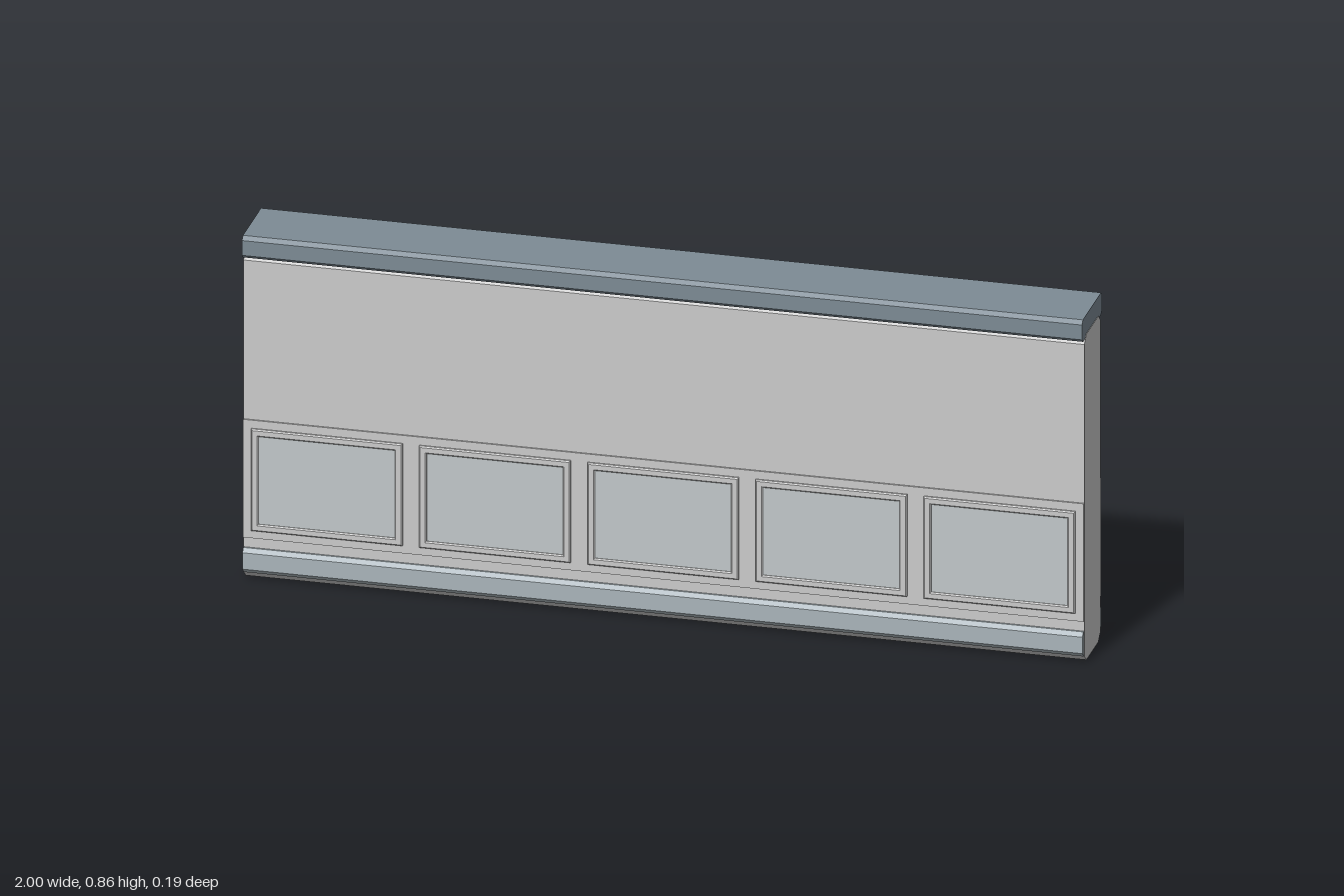
import * as THREE from 'three';

const mat = (color) => new THREE.MeshStandardMaterial({ color, flatShading: true });
const wallMat = mat(0xcccccc);
const capMat = mat(0x7d8b95);
const skirtMat = mat(0xaab5bb);
const panelMat = mat(0xc2c8ca);

// Symmetric cross-section, given as [half depth, height] from bottom to top, run along x.
function beam(name, half, length, material) {
  const pts = [...half, ...half.slice().reverse().map(([z, y]) => [-z, y])];
  const shape = new THREE.Shape(pts.map(([z, y]) => new THREE.Vector2(z, y)));
  const geo = new THREE.ExtrudeGeometry(shape, { depth: length, bevelEnabled: false });
  geo.translate(0, 0, -length / 2).rotateY(Math.PI / 2);
  const mesh = new THREE.Mesh(geo, material);
  mesh.name = name;
  return mesh;
}

function rect(Type, w, h) {
  const x = w / 2, y = h / 2;
  return new Type([[-x, -y], [x, -y], [x, y], [-x, y]].map(([a, b]) => new THREE.Vector2(a, b)));
}

// Bevelled moulding around a slightly recessed field.
function panel(w, h) {
  const group = new THREE.Group();
  group.name = 'panel';
  const bevel = 0.003;
  const shape = rect(THREE.Shape, w - 2 * bevel, h - 2 * bevel);
  shape.holes.push(rect(THREE.Path, w - 0.03, h - 0.03));
  const frame = new THREE.Mesh(new THREE.ExtrudeGeometry(shape, {
    depth: 0.005, bevelThickness: bevel, bevelSize: bevel, bevelSegments: 1,
  }), wallMat);
  frame.name = 'panelFrame';
  frame.position.z = 0.078;
  const field = new THREE.Mesh(new THREE.BoxGeometry(w - 0.02, h - 0.02, 0.006), panelMat);
  field.name = 'panelField';
  field.position.z = 0.0787;
  group.add(frame, field);
  return group;
}

export function createModel() {
  const model = new THREE.Group();
  model.name = 'wallSection';

  // Wall core with chamfered top and foot
  model.add(beam('wall', [[0.055, 0], [0.075, 0.018], [0.075, 0.797], [0.055, 0.815]], 2, wallMat));

  // Slightly proud band behind the panels
  model.add(beam('wainscot', [[0.079, 0.105], [0.079, 0.4]], 1.999, wallMat));

  // Skirting along both faces
  model.add(beam('skirting', [
    [0.073, 0.018], [0.078, 0.018], [0.088, 0.029], [0.088, 0.07], [0.08, 0.08], [0.073, 0.08],
  ], 1.998, skirtMat));

  // Coping on top
  model.add(beam('coping', [
    [0.083, 0.807], [0.093, 0.816], [0.093, 0.853], [0.083, 0.862],
  ], 1.998, capMat));

  // Five panels on each face
  for (const turn of [0, Math.PI]) {
    const side = new THREE.Group();
    side.name = turn ? 'backPanels' : 'frontPanels';
    side.rotation.y = turn;
    for (let i = 0; i < 5; i++) {
      const p = panel(0.36, 0.255);
      p.position.set(-0.8 + i * 0.4, 0.2525, 0);
      side.add(p);
    }
    model.add(side);
  }
  return model;
}
